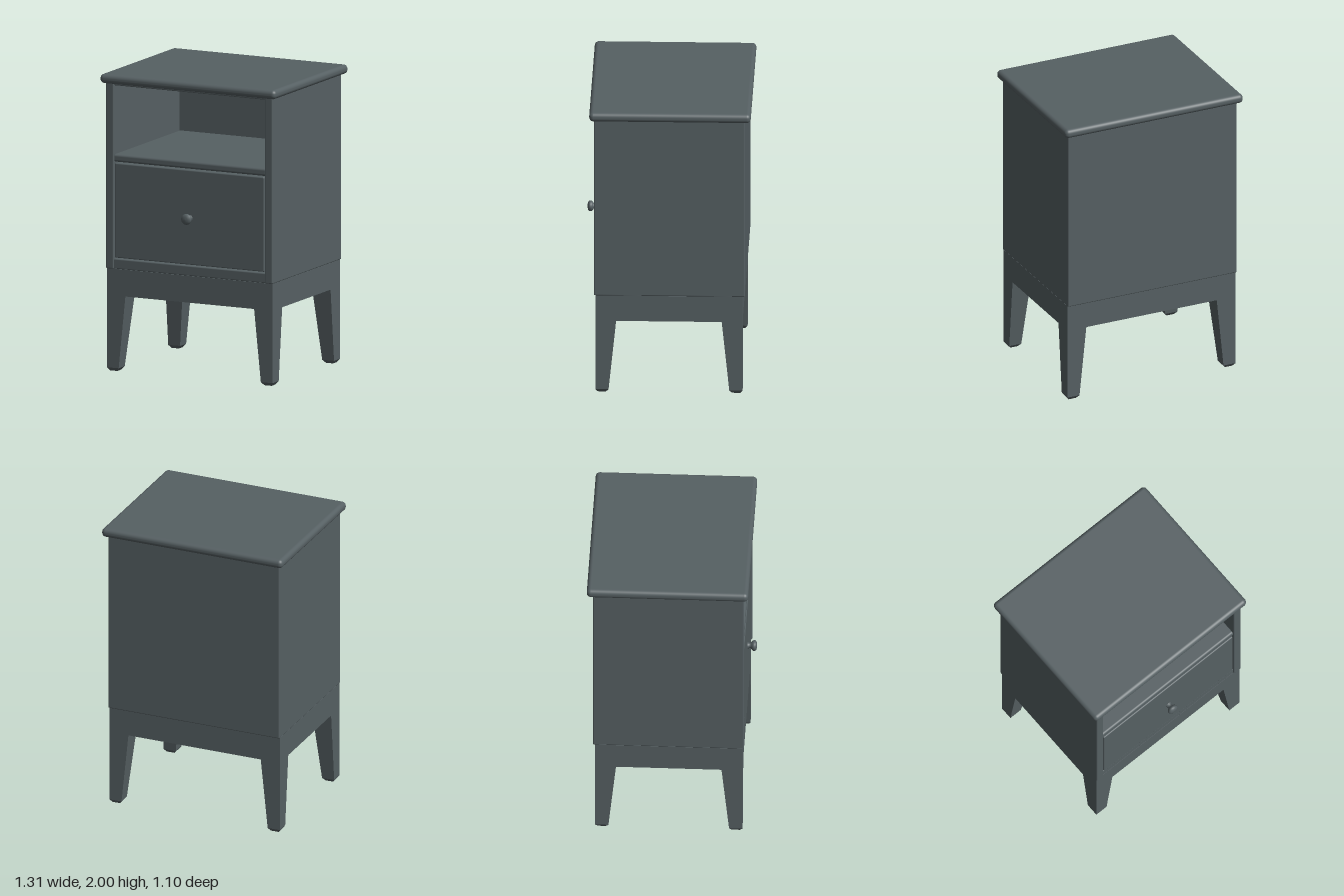
import * as THREE from 'three';
import { RoundedBoxGeometry } from 'three/addons/geometries/RoundedBoxGeometry.js';

const paint = new THREE.MeshStandardMaterial({ color: 0x566063 });
paint.name = 'slate grey paint';

// Outer limits of the cabinet and of the stand beneath it
const BODY = { x: 0.62, back: -0.51, front: 0.49, low: 0.69, high: 1.95 };
const STAND = { x: 0.617, back: -0.495, front: 0.48, low: 0.51, high: 0.69 };

function add(group, name, geometry) {
  const mesh = new THREE.Mesh(geometry, paint);
  mesh.name = name;
  group.add(mesh);
  return mesh;
}

// Softly rounded board given by its limits on each axis
function board(group, name, [x0, x1], [y0, y1], [z0, z1], radius = 0.008, segments = 2) {
  const geometry = new RoundedBoxGeometry(x1 - x0, y1 - y0, z1 - z0, segments, radius);
  geometry.translate((x0 + x1) / 2, (y0 + y1) / 2, (z0 + z1) / 2);
  return add(group, name, geometry);
}

// Leg with upright outer faces, tapered inner faces and a chamfered foot
function legGeometry(sx, sz) {
  const rows = [
    { y: 0, outer: 0.016, inner: 0.07 },
    { y: 0.022, outer: 0, inner: 0.088 },
    { y: STAND.low, outer: 0, inner: 0.138 },
    { y: STAND.high, outer: 0, inner: 0.138 },
  ];
  const box = new THREE.BoxGeometry(1, 1, 1, 1, 3, 1);
  const p = box.attributes.position;
  const cornerZ = sz > 0 ? STAND.front : STAND.back;
  for (let i = 0; i < p.count; i++) {
    const row = rows[Math.round((p.getY(i) + 0.5) * 3)];
    const insetX = p.getX(i) * sx > 0 ? row.outer : row.inner;
    const insetZ = p.getZ(i) * sz > 0 ? row.outer : row.inner;
    p.setXYZ(i, sx * (STAND.x - insetX), row.y, cornerZ - sz * insetZ);
  }
  const geometry = box.toNonIndexed();
  geometry.computeVertexNormals();
  return geometry;
}

export function createModel() {
  const model = new THREE.Group();
  model.name = 'bedsideCabinet';

  // Overhanging top with a rounded edge
  board(model, 'top', [-0.654, 0.654], [1.938, 2], [-0.55, 0.52], 0.028, 5);

  // Cabinet shell
  const cabinet = new THREE.Group();
  cabinet.name = 'cabinet';
  model.add(cabinet);
  const inner = 0.562;
  const depth = [BODY.back + 0.01, 0.48];
  for (const [name, s] of [['leftSide', 1], ['rightSide', -1]]) {
    const xs = [s * inner, s * BODY.x].sort((a, b) => a - b);
    board(cabinet, name, xs, [BODY.low, BODY.high], [BODY.back, BODY.front]);
  }
  const span = [-inner - 0.01, inner + 0.01];
  board(cabinet, 'backPanel', [-0.61, 0.61], [BODY.low, BODY.high], [BODY.back, -0.465]);
  board(cabinet, 'bottomPanel', span, [BODY.low, 0.758], depth);
  board(cabinet, 'shelf', span, [1.41, 1.462], depth, 0.016, 3);
  board(cabinet, 'ceiling', span, [1.925, BODY.high], depth);

  // Drawer front, set in a narrow gap
  const drawer = new THREE.Group();
  drawer.name = 'drawer';
  model.add(drawer);
  board(drawer, 'drawerFront', [-0.556, 0.556], [0.766, 1.404], [0.42, 0.485]);

  // Turned knob
  const profile = [
    [0.024, 0], [0.019, 0.012], [0.018, 0.024], [0.029, 0.032],
    [0.036, 0.042], [0.036, 0.052], [0.029, 0.061], [0.015, 0.065], [0, 0.066],
  ].map(([r, y]) => new THREE.Vector2(r, y));
  const knob = add(drawer, 'knob', new THREE.LatheGeometry(profile, 28));
  knob.rotation.x = Math.PI / 2;
  knob.position.set(0, 1.08, 0.483);

  // Open stand: four corner legs joined by rails
  const stand = new THREE.Group();
  stand.name = 'stand';
  model.add(stand);
  for (const sx of [1, -1]) {
    const side = sx > 0 ? 'Left' : 'Right';
    add(stand, 'front' + side + 'Leg', legGeometry(sx, 1));
    add(stand, 'back' + side + 'Leg', legGeometry(sx, -1));
  }
  const rail = (name, w, d, x, z) => {
    const h = STAND.high - STAND.low;
    add(stand, name, new THREE.BoxGeometry(w, h, d).translate(x, STAND.low + h / 2, z));
  };
  const thick = 0.085, leg = 0.138;
  const midZ = (STAND.front + STAND.back) / 2;
  const railZ = STAND.front - STAND.back - 2 * leg;
  rail('frontRail', 2 * (STAND.x - leg), thick, 0, STAND.front - thick / 2);
  rail('backRail', 2 * (STAND.x - leg), thick, 0, STAND.back + thick / 2);
  rail('leftRail', thick, railZ, STAND.x - thick / 2, midZ);
  rail('rightRail', thick, railZ, -STAND.x + thick / 2, midZ);

  return model;
}
